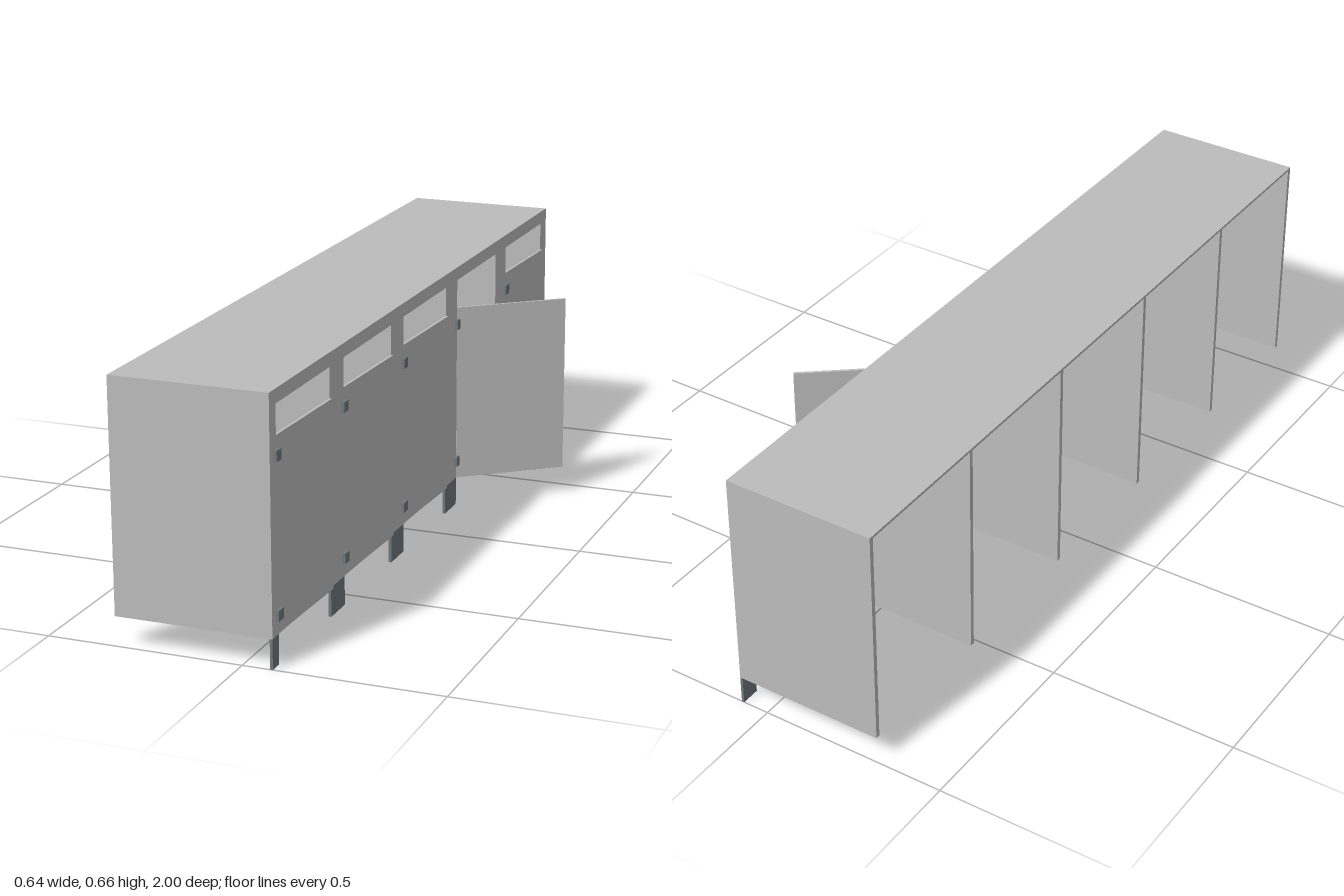
import * as THREE from 'three';

const BACK = -0.323, FRONT = 0.077, T = 0.007;  // depth limits and facade thickness
const LOW = 0.075, HIGH = 0.66, PITCH = 0.4, STALLS = 5;

export function createModel() {
  const group = new THREE.Group();
  const panel = new THREE.MeshStandardMaterial({ name: 'panelGrey', color: 0xbcbcbc });
  const steel = new THREE.MeshStandardMaterial({ name: 'darkSteel', color: 0x70777a });

  // Box given by its limits on each axis
  function box(name, mat, x0, x1, y0, y1, z0, z1, parent = group) {
    const mesh = new THREE.Mesh(new THREE.BoxGeometry(x1 - x0, y1 - y0, z1 - z0), mat);
    mesh.position.set((x0 + x1) / 2, (y0 + y1) / 2, (z0 + z1) / 2);
    mesh.name = name;
    parent.add(mesh);
  }

  // Roof and the header above the doors
  box('roof', panel, BACK, FRONT, HIGH - 0.007, HIGH, -1, 1);
  box('header', panel, FRONT - T, FRONT, 0.625, HIGH - 0.007, -1, 1);

  // Posts with feet, and the partition behind each one
  for (let i = 0; i <= STALLS; i++) {
    const z = 1 - PITCH * i;
    const near = i === 0 ? 1 : z + 0.05;
    const far = i === STALLS ? -1 : z - 0.036;
    box('post', panel, FRONT - T, FRONT, LOW, 0.625, far, near);
    box('foot', steel, FRONT - T, FRONT, 0, LOW, far, near);
    const mid = i === 0 ? 0.994 : i === STALLS ? -0.994 : z + 0.007;
    box('partition', panel, BACK, FRONT - T, LOW, HIGH - 0.007, mid - 0.006, mid + 0.006);
  }

  // Doors hung on two hinges; the fourth stands open, the others are barely ajar
  for (let i = 0; i < STALLS; i++) {
    const z = 1 - PITCH * i - 0.037;
    const open = i === 3;
    const door = new THREE.Group();
    door.name = open ? 'openDoor' : 'door';
    door.position.set(open ? FRONT : 0.0745, 0, z);
    door.rotation.y = open ? -0.895 : -0.033;
    box('doorPanel', panel, -T, 0, LOW, 0.55, -0.308, 0, door);
    group.add(door);
    for (const y of [0.111, 0.493]) {
      box('hinge', steel, FRONT - T - 0.002, 0.085, y, y + 0.026, z - (open ? 0.003 : 0.011), z + 0.016);
    }
  }
  return group;
}
